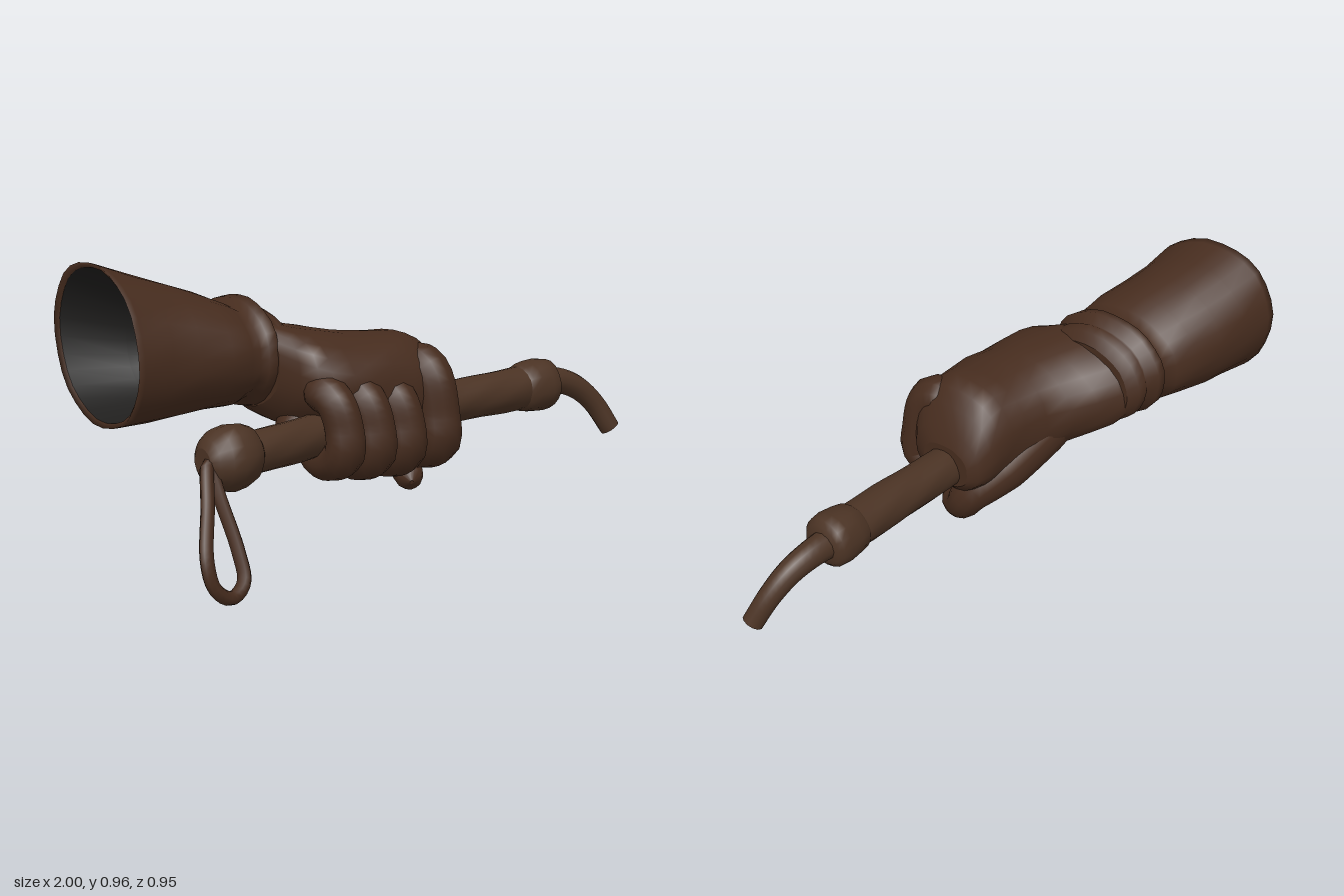
import * as THREE from 'three';

const V = (x, y, z) => new THREE.Vector3(x, y, z);
const leather = new THREE.MeshStandardMaterial({ color: 0x462c1e });
const wood = new THREE.MeshStandardMaterial({ color: 0x4b3324 });
const lining = new THREE.MeshStandardMaterial({ color: 0x201f1e, side: THREE.DoubleSide });

// Joins a row of rings into a skin, with optional flat ends
function skin(rings, capStart = true, capEnd = true) {
  const n = rings[0].length, pos = [], idx = [];
  rings.forEach(r => r.forEach(p => pos.push(p.x, p.y, p.z)));
  for (let i = 0; i < rings.length - 1; i++) {
    for (let j = 0; j < n; j++) {
      const k = (j + 1) % n, a = i * n, b = a + n;
      idx.push(a + j, a + k, b + j, a + k, b + k, b + j);
    }
  }
  const cap = (ring, flip) => {
    const start = pos.length / 3, c = V(0, 0, 0);
    ring.forEach(p => { pos.push(p.x, p.y, p.z); c.addScaledVector(p, 1 / n); });
    pos.push(c.x, c.y, c.z);
    for (let j = 0; j < n; j++) {
      const k = (j + 1) % n;
      if (flip) idx.push(start + n, start + k, start + j);
      else idx.push(start + n, start + j, start + k);
    }
  };
  if (capStart) cap(rings[0], true);
  if (capEnd) cap(rings[rings.length - 1], false);
  const g = new THREE.BufferGeometry();
  g.setAttribute('position', new THREE.Float32BufferAttribute(pos, 3));
  g.setIndex(idx);
  g.computeVertexNormals();
  return g;
}

// Rounded cross-section at x, spanning y0..y1 and z0..z1; power < 1 makes it boxier
function section([x, y0, y1, z0, z1], sides, power = 1, rough = 0) {
  const soft = v => Math.sign(v) * Math.abs(v) ** power;
  return Array.from({ length: sides }, (_, j) => {
    const a = j / sides * Math.PI * 2;
    const s = 1 + rough * Math.sin(j * 4.1 + x * 7) * Math.cos(j * 2.3 - x * 19);
    return V(x, (y0 + y1) / 2 + soft(Math.cos(a)) * s * (y1 - y0) / 2,
      (z0 + z1) / 2 + soft(Math.sin(a)) * s * (z1 - z0) / 2);
  });
}

// Limb along a curve through [x, y, z, radius] points, with round or flat ends
function limb(points, { sides = 12, steps = 24, round = true } = {}) {
  const curve = new THREE.CatmullRomCurve3(points.map(p => V(p[0], p[1], p[2])));
  const frames = curve.computeFrenetFrames(steps, false);
  const length = curve.getLength(), rings = [];
  for (let i = 0; i <= steps; i++) {
    const u = i / steps, c = curve.getPointAt(u);
    const f = curve.getUtoTmapping(u) * (points.length - 1);
    const k = Math.min(Math.floor(f), points.length - 2);
    let r = THREE.MathUtils.lerp(points[k][3], points[k + 1][3], f - k);
    const d = Math.min(u, 1 - u) * length;
    if (round && d < r) r *= Math.max(0.15, Math.sqrt(1 - (1 - d / r) ** 2));
    rings.push(Array.from({ length: sides }, (_, j) => {
      const a = j / sides * Math.PI * 2;
      return c.clone().addScaledVector(frames.normals[i], r * Math.cos(a))
        .addScaledVector(frames.binormals[i], r * Math.sin(a));
    }));
  }
  return skin(rings);
}

export function createModel() {
  const model = new THREE.Group();
  const add = (name, geometry, material, parent = model) => {
    const m = new THREE.Mesh(geometry, material);
    m.name = name;
    parent.add(m);
  };

  // Flared cuff with a thick rim and folded wrist
  const cuff = [
    [-0.96, 0.455, 0.945, -0.455, 0.045], [-0.972, 0.44, 0.962, -0.472, 0.06],
    [-0.95, 0.44, 0.955, -0.468, 0.062], [-0.85, 0.446, 0.92, -0.444, 0.066],
    [-0.75, 0.456, 0.885, -0.42, 0.075], [-0.65, 0.47, 0.848, -0.385, 0.095],
    [-0.58, 0.475, 0.82, -0.355, 0.1], [-0.54, 0.49, 0.8, -0.325, 0.085],
    [-0.52, 0.47, 0.826, -0.345, 0.105], [-0.485, 0.465, 0.832, -0.345, 0.11],
    [-0.463, 0.48, 0.795, -0.31, 0.09], [-0.45, 0.46, 0.8, -0.318, 0.105],
    [-0.425, 0.455, 0.785, -0.308, 0.11], [-0.4, 0.46, 0.75, -0.275, 0.1]];
  const cuffRings = list => list.map(s => {
    const ring = section(s, 28, 0.96, 0.015), mid = (s[1] + s[2]) / 2;
    // The open end leans back toward its top
    const lean = 0.12 * THREE.MathUtils.smoothstep(-s[0], 0.55, 0.95);
    ring.forEach(p => { p.z -= lean * (p.y - mid); });
    return ring;
  });
  add('cuff', skin(cuffRings(cuff), false, true), leather);

  // Dark inside of the cuff
  const inside = [cuff[0], [-0.75, 0.475, 0.865, -0.4, 0.055], [-0.6, 0.5, 0.8, -0.33, 0.08]];
  add('cuffLining', skin(cuffRings(inside), false, true), lining);

  // Palm and back of the fist, rounder toward the wrist
  const palm = [
    [-0.49, 0.47, 0.775, -0.285, 0.12], [-0.46, 0.44, 0.76, -0.285, 0.19],
    [-0.43, 0.42, 0.75, -0.28, 0.25], [-0.39, 0.4, 0.742, -0.265, 0.28],
    [-0.32, 0.38, 0.73, -0.22, 0.3], [-0.25, 0.36, 0.715, -0.165, 0.31],
    [-0.17, 0.34, 0.705, -0.118, 0.315], [-0.09, 0.32, 0.7, -0.092, 0.315],
    [-0.03, 0.31, 0.7, -0.077, 0.315], [0.02, 0.31, 0.678, -0.067, 0.31],
    [0.06, 0.315, 0.635, -0.057, 0.295], [0.1, 0.33, 0.565, -0.035, 0.255],
    [0.12, 0.355, 0.51, 0, 0.2]];
  add('palm', skin(palm.map(s => section(s, 24, s[0] < -0.2 ? 0.98 : 0.86, 0.02))), leather);

  // Heel of the hand closing under the handle
  add('palmHeel', limb([[-0.47, 0.42, 0.1, 0.085], [-0.3, 0.39, 0.075, 0.11],
    [-0.15, 0.37, 0.07, 0.113], [0.06, 0.345, 0.085, 0.09]], { sides: 16 }), leather);

  // Four fingers curled around the handle
  const fingers = new THREE.Group();
  fingers.name = 'fingers';
  model.add(fingers);
  [[-0.385, 0.01, 0.064], [-0.265, 0, 0.07], [-0.14, -0.008, 0.07], [0.005, 0.005, 0.074]].forEach(([x, dy, r], i) => {
    const lift = i === 3 ? 0.055 : 0;
    add('finger' + (i + 1), limb([
      [x - 0.02, 0.55 + dy + lift, 0.16, r], [x - 0.005, 0.515 + dy + lift, 0.27, r],
      [x + 0.01, 0.43 + dy, 0.302, r], [x + 0.01, 0.345 + dy, 0.302, r * 1.05],
      [x + 0.005, 0.305 + dy, 0.2, r * 0.95], [x, 0.35 + dy, 0.12, r * 0.85]]), leather, fingers);
  });

  // Thumb sweeping under the handle
  add('thumb', limb([
    [-0.42, 0.54, -0.05, 0.09], [-0.22, 0.46, -0.035, 0.1], [-0.06, 0.38, -0.005, 0.095],
    [0.045, 0.3, 0.045, 0.07], [0.04, 0.22, 0.1, 0.057], [-0.008, 0.186, 0.195, 0.044]],
  { steps: 32, sides: 14 }), leather);

  // Bark-covered handle with a knob and an end collar
  const rod = profile => skin(profile.map(([x, r]) => {
    const y = 0.413 + 0.028 * x;
    const z = 0.108 + 0.137 * THREE.MathUtils.smoothstep(-x, -0.12, 0.8);
    return section([x, y - r, y + r, z - r, z + r], 18, 1, 0.035);
  }));
  add('handle', rod(Array.from({ length: 25 }, (_, i) => [-0.7 + i * 0.053, 0.067 + i * 0.0004])), wood);
  add('knob', rod([[-0.868, 0.045], [-0.85, 0.075], [-0.815, 0.098], [-0.775, 0.107],
    [-0.73, 0.099], [-0.695, 0.083], [-0.68, 0.064]]), wood);
  add('collar', rod([[0.55, 0.072], [0.565, 0.085], [0.6, 0.091], [0.65, 0.096],
    [0.685, 0.092], [0.7, 0.075], [0.706, 0.05]]), wood);

  // Curved tip
  add('hook', limb([
    [0.68, 0.435, 0.1, 0.052], [0.76, 0.432, 0.103, 0.047], [0.84, 0.4, 0.118, 0.043],
    [0.91, 0.335, 0.14, 0.039], [0.965, 0.24, 0.172, 0.037]], { round: false, steps: 16 }), wood);

  // Wrist strap
  const strap = new THREE.CatmullRomCurve3([
    V(-0.865, 0.39, 0.27), V(-0.92, 0.28, 0.35), V(-0.976, 0.14, 0.43), V(-0.962, 0.06, 0.448),
    V(-0.905, 0.021, 0.448), V(-0.848, 0.055, 0.43), V(-0.84, 0.14, 0.39), V(-0.853, 0.28, 0.322)], true);
  add('wristStrap', new THREE.TubeGeometry(strap, 48, 0.022, 8, true), leather);

  return model;
}
